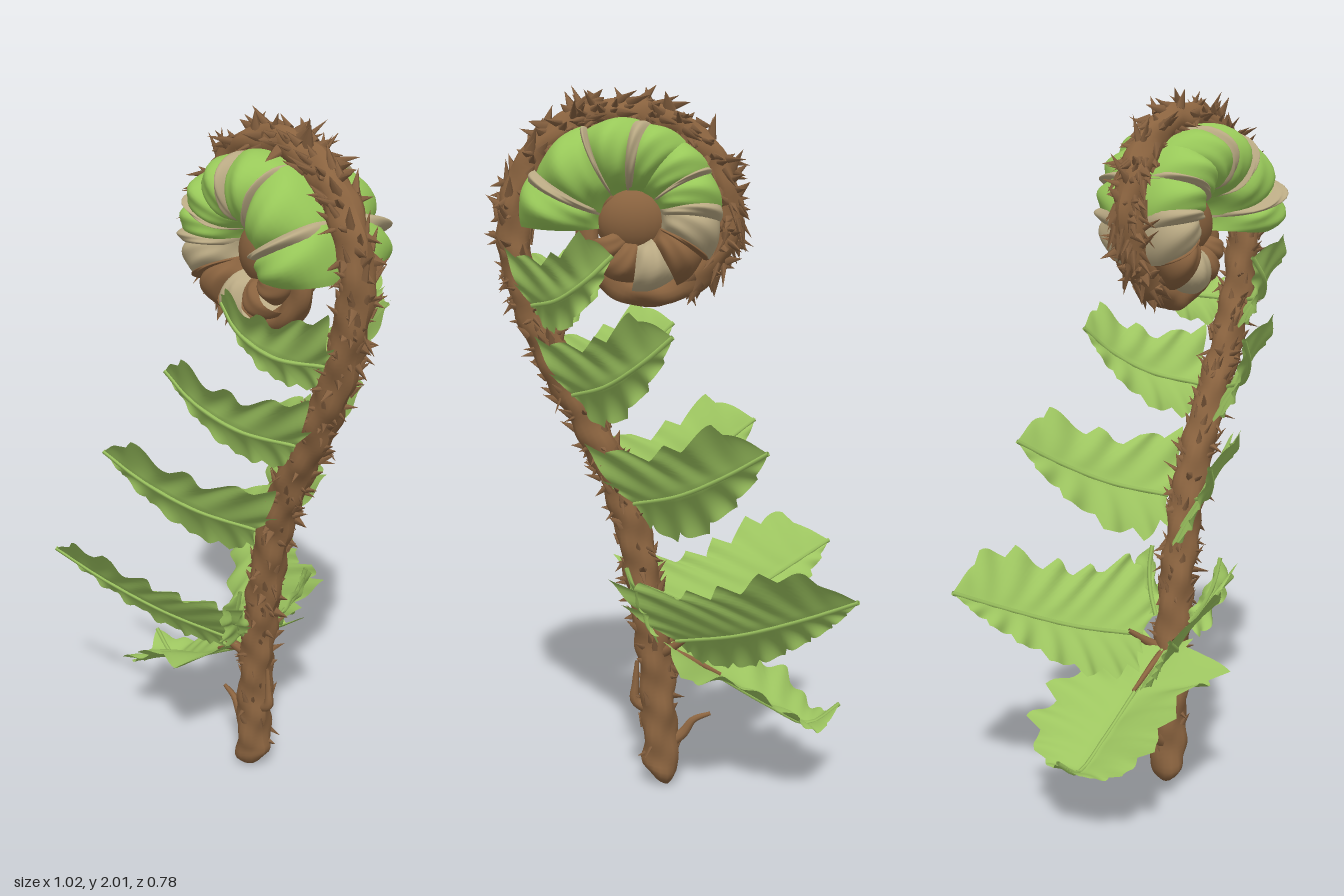
import * as THREE from 'three';
import { mergeGeometries } from 'three/addons/utils/BufferGeometryUtils.js';

const mat = (name, color) => {
  const m = new THREE.MeshStandardMaterial({ color, side: THREE.DoubleSide });
  m.name = name;
  return m;
};
const V = (x, y, z = 0) => new THREE.Vector3(x, y, z);
const smooth = points => new THREE.CatmullRomCurve3(points, false, 'centripetal');
const curve = list => smooth(list.map(p => V(...p)));

// Small seeded random
let seed = 7;
const rand = () => (seed = (seed * 16807) % 2147483647) / 2147483647;

// Surface from a rule f(u, v) sampled on a grid
function grid(nu, nv, f) {
  const pos = [], idx = [];
  for (let i = 0; i <= nu; i++)
    for (let j = 0; j <= nv; j++) pos.push(...f(i / nu, j / nv).toArray());
  for (let i = 0; i < nu; i++)
    for (let j = 0; j < nv; j++) {
      const a = i * (nv + 1) + j, b = a + nv + 1;
      idx.push(a, b, a + 1, b, b + 1, a + 1);
    }
  const g = new THREE.BufferGeometry();
  g.setAttribute('position', new THREE.Float32BufferAttribute(pos, 3));
  g.setIndex(idx);
  g.computeVertexNormals();
  return g;
}

// Spiral of the curled head: radius by angle in degrees
const CX = 0.1, CY = 1.65;
const RADII = [0.335, 0.288, 0.262, 0.195, 0.12, 0.05, 0.01];
const spiralR = deg => {
  const t = deg / 90, i = Math.min(5, Math.floor(t));
  return THREE.MathUtils.lerp(RADII[i], RADII[i + 1], Math.min(1, t - i));
};
const polar = (deg, r, z = 0) => {
  const a = THREE.MathUtils.degToRad(deg);
  return V(CX + r * Math.cos(a), CY + r * Math.sin(a), z);
};

// Shared leaf outline: along the midrib, then across it
const UPPER = [[0, 0], [-0.12, 0.6], [-0.08, 1.25], [0.2, 0.85], [0.45, 0.8], [0.78, 0.78], [1, 0]];
const LOWER = [[0, 0], [0.05, -0.5], [0.28, -0.7], [0.6, -0.5], [0.85, -0.25], [1, 0]];

export function createModel() {
  const root = new THREE.Group();
  root.name = 'fernFrond';
  const bark = mat('bark brown', 0x8a633f);
  const scaleMat = mat('scale brown', 0x85603f);
  const leafMat = mat('leaf green', 0x9dc560);
  const budMat = mat('bud green', 0x98c859);
  const tanMat = mat('papery tan', 0xb9a983);
  const add = (name, geo, m) => {
    const mesh = new THREE.Mesh(geo, m);
    mesh.name = name;
    root.add(mesh);
  };

  // Main stem running into the spiral
  const pts = [[0.025, 0], [0.03, 0.2], [0.045, 0.42], [0.08, 0.65], [0.135, 0.88],
    [0.225, 1.08], [0.33, 1.27], [0.405, 1.46]].map(p => V(...p));
  for (let d = 0; d <= 500; d += 20) pts.push(polar(d, spiralR(d)));
  const path = smooth(pts);
  const stemRadius = t => t < 0.55 ? 0.052 - 0.012 * t : 0.046 - (t - 0.55) * 0.03;
  const stemPoint = (t, a, r) => {
    const p = path.getPointAt(t), d = path.getTangentAt(t);
    return p.add(V(d.y * Math.cos(a), -d.x * Math.cos(a), Math.sin(a)).multiplyScalar(r));
  };
  add('stem', grid(260, 16, (t, v) => {
    const a = v * Math.PI * 2;
    const end = Math.min(1, Math.sqrt(t / 0.014), (1 - t) / 0.01);
    const lump = 1 + 0.08 * Math.sin(a * 3 + t * 110) + 0.07 * Math.sin(a * 2 - t * 190);
    const p = stemPoint(t, a, stemRadius(t) * end * lump);
    // Slanted cut at the foot
    if (t < 0.03) p.y = Math.max(0, p.y + 0.6 * (p.x - 0.015) * (1 - t / 0.03));
    return p;
  }), bark);

  // Ragged papery scales, larger and denser round the curled head
  const spikes = [];
  const up = V(0, 1, 0);
  for (let i = 0; i < 640; i++) {
    const t = 0.03 + 0.8 * Math.pow(rand(), 0.7), a = rand() * Math.PI * 2;
    const big = t > 0.5 ? 1.2 : 0.9;
    const len = (0.025 + rand() * 0.035) * big;
    const base = stemPoint(t, a, stemRadius(t) * 0.92);
    const dir = base.clone().sub(path.getPointAt(t)).normalize();
    dir.addScaledVector(path.getTangentAt(t), rand() * 3 - 0.8);
    dir.z += rand() * 0.6 - 0.3;
    const g = new THREE.ConeGeometry((0.009 + rand() * 0.009) * big, len, 5);
    g.scale(1, 1, 0.6);
    g.translate(0, len / 2 - 0.004, 0);
    g.applyQuaternion(new THREE.Quaternion().setFromUnitVectors(up, dir.normalize()));
    g.translate(base.x, base.y, base.z);
    spikes.push(g);
  }
  add('stemScales', mergeGeometries(spikes), scaleMat);

  // Twig stubs and leaf stalks, tapering to the tip
  const twig = (name, list, r) => {
    const c = curve(list);
    add(name, grid(14, 8, (t, v) => {
      const a = v * Math.PI * 2, k = r * (1 - 0.7 * t), d = c.getTangent(t);
      const n = V(d.y, -d.x, 0).normalize(), b = n.clone().cross(d);
      return c.getPoint(t).addScaledVector(n, k * Math.cos(a)).addScaledVector(b, k * Math.sin(a));
    }), bark);
  };
  twig('twigStub', [[0, 0.13], [-0.04, 0.16], [-0.07, 0.2], [-0.12, 0.22]], 0.02);
  twig('twigStub', [[0.05, 0.23], [0.1, 0.26], [0.1, 0.31], [0.095, 0.38]], 0.02);
  twig('bottomStalk', [[0.04, 0.42], [-0.03, 0.4], [-0.15, 0.34]], 0.018);

  // A leaf spans a midrib and two edge curves, with toothed rims and vein ripples
  function leaf(name, mid, hi, lo, side, teeth) {
    const n = mid.getPoint(1).sub(mid.getPoint(0))
      .cross(hi.getPoint(0.5).sub(lo.getPoint(0.5))).normalize();
    add(name, grid(72, 16, (u, v) => {
      const s = v * 2 - 1, w = Math.abs(s);
      const edge = (s > 0 ? hi : lo).getPoint(u);
      const saw = (u * teeth) % 1;
      const p = mid.getPoint(u).lerp(edge, w * (1 + 0.28 * (saw - 0.6) * w * w));
      const ripple = 0.01 * w * Math.sin((u * teeth - w * 0.5) * Math.PI * 2);
      p.addScaledVector(n, (ripple + 0.03 * w * (1 - w)) * Math.sin(Math.PI * u));
      p.z *= side;
      return p;
    }), leafMat);
    // Raised midrib
    const rib = smooth(mid.getPoints(12).map(p => V(p.x, p.y, p.z * side)));
    add(name + 'Midrib', new THREE.TubeGeometry(rib, 20, 0.007, 5), leafMat);
  }

  // Drooping, trough-shaped single leaf at the bottom
  const lowEdge = s => curve([[0, 0.42, 0], [0.01, 0.46, 0.1 * s], [-0.05, 0.4, 0.24 * s],
    [-0.17, 0.39, 0.2 * s], [-0.28, 0.33, 0.21 * s], [-0.37, 0.27, 0.2 * s],
    [-0.42, 0.21, 0.13 * s], [-0.46, 0.21, 0.06 * s], [-0.5, 0.25, 0]]);
  const lowMid = curve([[0, 0.42], [-0.15, 0.33], [-0.3, 0.24], [-0.41, 0.19], [-0.5, 0.25]]);
  leaf('bottomLeaf', lowMid, lowEdge(1), lowEdge(-1), 1, 8);

  // Paired leaves: base, vector to the tip, half-width vector, lower share, outward bow, teeth
  const pairs = [
    ['lowerLeaf', [-0.02, 0.46, 0.06], [-0.48, 0.2, 0.3], [0.1, 0.17, 0.1], 1, 0.02, 9],
    ['basalLobe', [0.05, 0.5, 0.06], [0.07, 0.19, 0.06], [-0.01, 0, 0.06], 0.8, 0.02, 4],
    ['middleLeaf', [0.1, 0.86, 0.05], [-0.36, 0.19, 0.27], [0.07, 0.15, 0.06], 1.3, 0.03, 6],
    ['upperLeaf', [0.27, 1.17, 0.05], [-0.28, 0.18, 0.22], [0.05, 0.14, 0.06], 1.15, 0.045, 6],
    ['topLeaf', [0.38, 1.42, 0.05], [-0.23, 0.14, 0.15], [0.03, 0.13, 0.06], 1, 0.055, 6],
  ];
  for (const side of [1, -1]) {
    for (const [name, base, along, across, low, bow, teeth] of pairs) {
      const place = (outline, k) => smooth(outline.map(([a, b]) => {
        const sag = bow * Math.sin(Math.PI * Math.max(0, a));
        return V(...base).addScaledVector(V(...along), a)
          .addScaledVector(V(...across), b * k).add(V(0, -0.4 * sag, sag));
      }));
      const mid = place([[0, 0], [0.35, -0.06], [0.7, -0.03], [1, 0]], 1);
      leaf(name, mid, place(UPPER, 1), place(LOWER, low), side, teeth);
    }
    twig('leafStalk', [[0.04, 0.4, 0], [0, 0.43, 0.04 * side], [-0.06, 0.48, 0.08 * side]], 0.022);
  }

  // Brown knot at the heart of the spiral
  const knot = new THREE.SphereGeometry(0.1, 20, 14);
  knot.scale(1.05, 0.95, 0.75);
  knot.translate(CX, CY, 0);
  add('spiralHeart', knot, bark);

  // Rolled leaflets packed inside the spiral: x = share of spiral radius, y = depth
  const profile = curve([[0.97, 0.02], [0.98, 0.09], [0.84, 0.16], [0.58, 0.17], [0.38, 0.12], [0.3, 0.02]]);
  function bud(name, deg, half, depth, m, side) {
    add(name, grid(12, 18, (u, v) => {
      const s = u * 2 - 1, q = profile.getPoint(v);
      const puff = Math.sqrt(1 - 0.4 * s * s) * (1 + 0.03 * Math.sin(u * 9 + v * 11));
      const d = deg + s * half + 14 * (q.x - 0.6);
      return polar(d, (spiralR(deg) - 0.015) * q.x * (0.9 + 0.1 * puff), q.y * depth * puff * side);
    }), m);
  }
  const buds = [[6, 14, 1.12, budMat], [37, 19, 1.08, budMat], [72, 17, 1.02, budMat],
    [103, 16, 1.02, budMat], [129, 15, 1, budMat], [154, 15, 0.95, budMat], [184, 17, 0.88, tanMat],
    [214, 16, 0.74, bark], [246, 20, 0.68, tanMat], [280, 18, 0.58, bark], [312, 20, 0.5, bark]];
  // Papery folds between the leaflets
  const folds = [[18, 4, 1.22, tanMat], [56, 2.5, 1.03, tanMat], [90, 7, 1.04, tanMat],
    [141, 3, 0.99, tanMat], [168, 7, 0.96, tanMat], [200, 3, 0.8, bark]];
  for (const side of [1, -1]) {
    for (const b of buds) bud('rolledLeaflet', ...b, side);
    for (const f of folds) bud('leafletFold', ...f, side);
  }
  return root;
}
